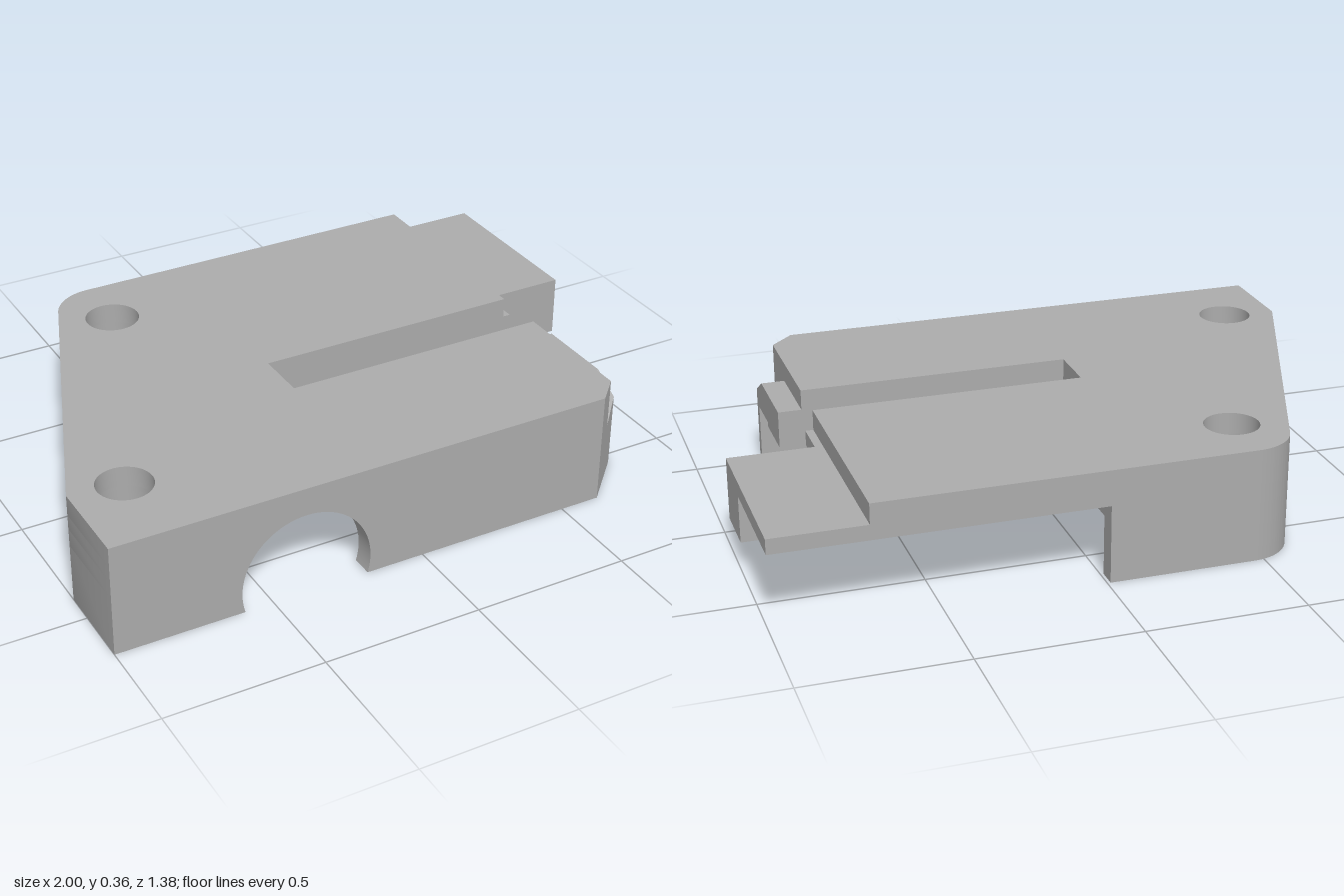
import * as THREE from 'three';
import { toCreasedNormals } from 'three/addons/utils/BufferGeometryUtils.js';
import { ConvexGeometry } from 'three/addons/geometries/ConvexGeometry.js';

const HOLES = [[-0.47, -0.48], [-0.83, 0.42]];
const ARCH = { x: -0.39, y: 0.06, r: 0.21 };

export function createModel() {
  const group = new THREE.Group();
  const grey = new THREE.MeshStandardMaterial({ color: 0xacacac });
  grey.name = 'housing grey';

  function add(name, geometry) {
    const mesh = new THREE.Mesh(geometry, grey);
    mesh.name = name;
    group.add(mesh);
  }

  // Horizontal slab: plan outline in (x, z), between two heights
  function slab(name, shape, y0, y1) {
    const geo = new THREE.ExtrudeGeometry(shape, { depth: y1 - y0, bevelEnabled: false, curveSegments: 24 });
    geo.rotateX(Math.PI / 2).translate(0, y1, 0);
    add(name, toCreasedNormals(geo, 0.5));
  }

  function box(name, x0, x1, y0, y1, z0, z1) {
    const geo = new THREE.BoxGeometry(x1 - x0, y1 - y0, z1 - z0);
    add(name, geo.translate((x0 + x1) / 2, (y0 + y1) / 2, (z0 + z1) / 2));
  }

  function lines(shape, points) {
    for (const [x, z] of points) shape.lineTo(x, z);
  }

  // Rounded back corner and slanted left side, starting from the back edge
  function leftOutline(shape) {
    shape.lineTo(-0.47, -0.69);
    shape.absarc(-0.47, -0.54, 0.15, -Math.PI / 2, -2.77, true);
    lines(shape, [[-1, 0.4], [-1, 0.69]]);
  }

  function screwHoles(shape) {
    for (const [x, z] of HOLES) {
      shape.holes.push(new THREE.Path().absarc(x, z, 0.086, 0, Math.PI * 2, false));
    }
  }

  // Plan of a full layer: right-hand edge points vary, arch notch is optional
  function layerShape(rightEdge, notch) {
    const s = new THREE.Shape();
    s.moveTo(-1, 0.69);
    if (notch) lines(s, [[-0.61, 0.69], [-0.61, 0], [-0.17, 0], [-0.17, 0.69]]);
    lines(s, [[0.63, 0.69], [0.705, 0.615], [0.705, 0.19], [-0.165, 0.19], ...rightEdge]);
    leftOutline(s);
    screwHoles(s);
    return s;
  }

  // Stacked layers, from the lid down to the cavity ceiling
  slab('topPlate', layerShape([[-0.165, 0.02], [0.705, 0.02], [0.705, -0.69]], false), 0.295, 0.36);
  slab('shelfLayer', layerShape([[-0.165, 0.02], [0.73, 0.02], [0.73, -0.11], [1, -0.11], [1, -0.69]], true), 0.247, 0.295);
  slab('ceilingLayer', layerShape([[-0.165, -0.11], [1, -0.11], [1, -0.285], [0.68, -0.285],
    [0.68, -0.44], [-0.01, -0.44], [-0.01, -0.69]], true), 0.19, 0.247);

  // Left and back wall with round screw bosses
  const wall = new THREE.Shape();
  wall.moveTo(-0.01, -0.69);
  leftOutline(wall);
  lines(wall, [[-0.61, 0.69], [-0.61, 0.51], [-0.686, 0.51]]);
  wall.absarc(-0.83, 0.42, 0.17, 0.558, -1.6, true);
  wall.lineTo(-0.602, -0.37);
  wall.absarc(-0.47, -0.48, 0.17, 2.447, -1.08, true);
  wall.lineTo(-0.01, -0.63);
  screwHoles(wall);
  slab('leftWall', wall, 0, 0.19);

  // Front wall, thicker toward the right end
  const front = new THREE.Shape();
  front.moveTo(-0.17, 0.69);
  lines(front, [[0.63, 0.69], [0.78, 0.54], [0.78, 0.51], [0.23, 0.51], [0.23, 0.62], [-0.17, 0.62]]);
  slab('frontWall', front, 0, 0.19);

  // Round channel running back from the front opening
  function arch(name, y0, z0, z1) {
    const a = Math.asin((y0 - ARCH.y) / ARCH.r);
    const s = new THREE.Shape();
    s.moveTo(-0.61, y0);
    lines(s, [[-0.61, 0.295], [-0.17, 0.295], [-0.17, y0]]);
    s.absarc(ARCH.x, ARCH.y, ARCH.r, a, Math.PI - a, false);
    const geo = new THREE.ExtrudeGeometry(s, { depth: z1 - z0, bevelEnabled: false, curveSegments: 32 });
    add(name, toCreasedNormals(geo.translate(0, 0, z0), 0.5));
  }
  arch('frontArch', 0, 0.62, 0.69);
  arch('archChannel', 0.19, 0, 0.62);

  // Right end lip with sloping top, cut by the corner chamfer
  const lip = [
    [0.705, 0.19, 0.19], [0.78, 0.19, 0.19], [0.705, 0.295, 0.19], [0.78, 0.295, 0.19],
    [0.705, 0.295, 0.45], [0.78, 0.295, 0.45], [0.705, 0.2, 0.615], [0.78, 0.243, 0.54],
    [0.705, 0.19, 0.615], [0.78, 0.19, 0.54],
  ].map((p) => new THREE.Vector3(...p));
  add('slopedLip', new ConvexGeometry(lip));

  // Ribs hanging under the ceiling
  box('guideRib', -0.2, 1, 0.097, 0.19, -0.285, -0.11);
  box('guideRibEnd', -0.33, -0.2, 0.135, 0.19, -0.34, -0.11);
  box('stopBlock', -0.48, -0.33, 0.043, 0.19, -0.29, -0.11);
  box('backRib', -0.01, 0.68, 0.145, 0.19, -0.44, -0.285);
  box('frontRib', 0, 0.78, 0.175, 0.19, 0.19, 0.37);

  return group;
}
